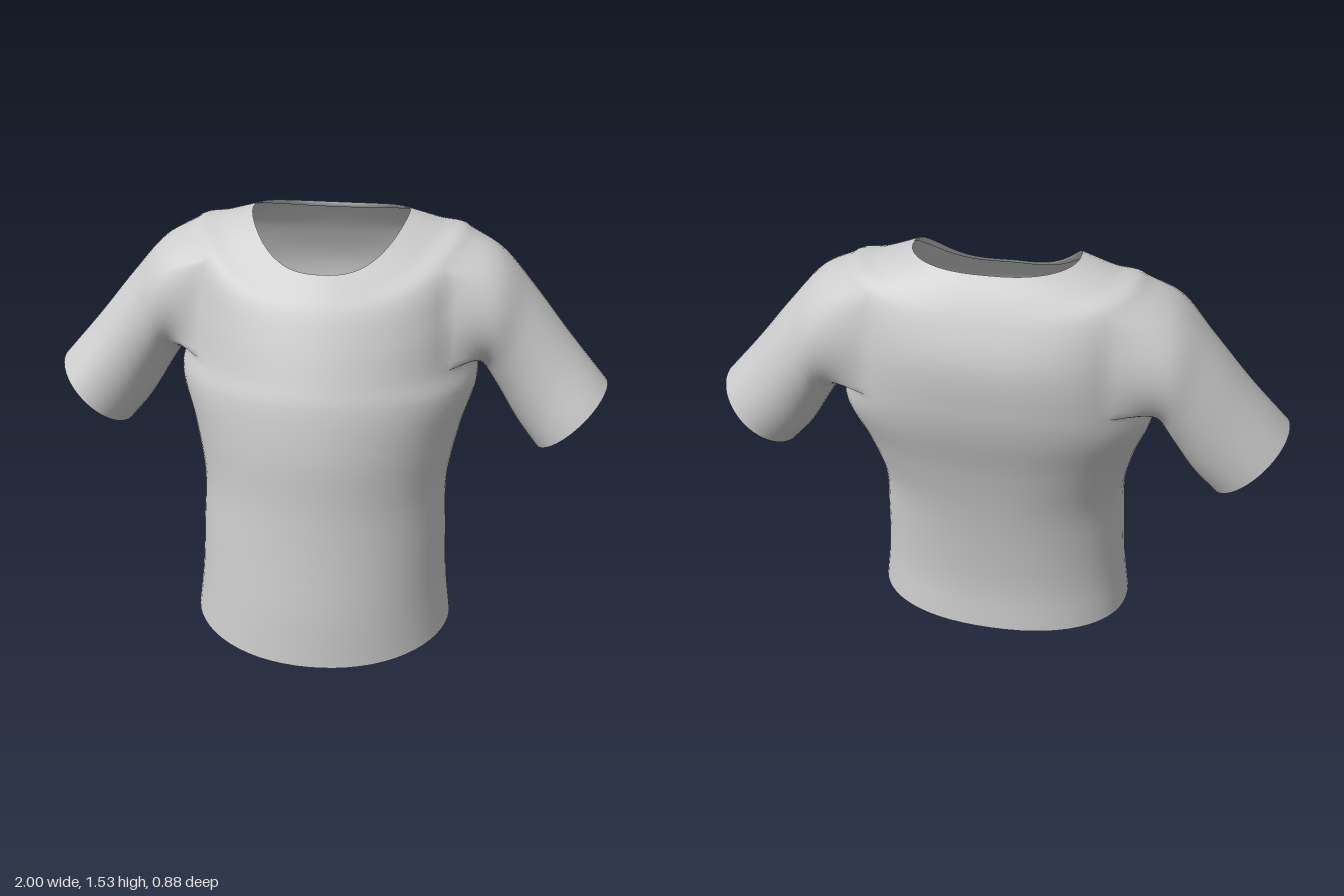
import * as THREE from 'three';

const N = 64;                 // columns around the body (0 = front, N/4 = left side)
const SUB = 6;                // rows between key sections
const ARM = { low: 6 * SUB, high: 8 * SUB, front: 10, back: 24 };  // armhole patch in the grid

// Key sections, hem to neckline:
// half width, front z, back z, side z, front y, side y, back y, back roundness
const SECTIONS = [
  [0.485, 0.44, -0.28, 0.04, 0.005, 0.03, 0.03, 0.9],
  [0.465, 0.425, -0.27, 0.03, 0.2, 0.2, 0.2, 0.9],
  [0.455, 0.4, -0.285, 0.02, 0.4, 0.4, 0.4, 0.9],
  [0.45, 0.38, -0.315, 0, 0.6, 0.6, 0.6, 0.88],
  [0.49, 0.37, -0.36, -0.05, 0.8, 0.8, 0.8, 0.82],
  [0.54, 0.34, -0.41, -0.1, 0.97, 0.97, 0.97, 0.78],
  [0.525, 0.31, -0.43, -0.12, 1.05, 1.06, 1.08, 0.75],
  [0.515, 0.26, -0.435, -0.13, 1.17, 1.28, 1.25, 0.75],
  [0.49, 0.205, -0.39, -0.15, 1.28, 1.48, 1.38, 0.75],
  [0.39, 0.165, -0.345, -0.15, 1.33, 1.505, 1.46, 0.75],
  [0.275, 0.12, -0.3, -0.13, 1.38, 1.54, 1.52, 0.78],
];

// Sleeve stations: top x, top y, bottom x, bottom y, front z, back z
const STATIONS = [
  [0.6, 1.42, 0.56, 1.0, 0.075, -0.36],
  [0.72, 1.29, 0.61, 0.92, 0.05, -0.335],
  [0.86, 1.12, 0.685, 0.8, 0.055, -0.31],
  [1.0, 0.96, 0.76, 0.71, 0.085, -0.29],
];

function sectionPoint([w, zf, zb, zm, yf, ys, yb, eb], a) {
  const s = Math.sin(a), c = Math.cos(a), as = Math.abs(s), ac = Math.abs(c);
  const e = c > 0 ? 1 : eb;
  const x = Math.sign(s) * w * Math.pow(as, e);
  const z = zm + ((c > 0 ? zf : zb) - zm) * Math.pow(ac, e);
  const y = THREE.MathUtils.lerp(c > 0 ? yf : yb, ys, Math.pow(as, c > 0 ? 3 : 2));
  return new THREE.Vector3(x, y, z);
}

// Samples a smooth curve through key points at even steps per key
function sample(keys, sub) {
  return new THREE.CatmullRomCurve3(keys).getPoints((keys.length - 1) * sub);
}

function quad(index, a, b, c, d) {
  index.push(a, b, c, b, d, c);
}

function toGeometry(points, index) {
  const geometry = new THREE.BufferGeometry().setFromPoints(points);
  geometry.setIndex(index);
  geometry.computeVertexNormals();
  return geometry;
}

// Turned-in fold behind an open edge; rows start at the edge
function foldGeometry(rows, inset) {
  const points = [], index = [], n = rows[0].length;
  rows.forEach((row, i) => {
    const centre = row.reduce((s, p) => s.add(p), new THREE.Vector3()).divideScalar(n);
    for (const p of row) {
      const inward = centre.clone().sub(p).setLength(i ? inset : 0);
      points.push(p.clone().add(inward));
    }
  });
  for (let i = 0; i < rows.length - 1; i++) {
    for (let j = 0; j < n; j++) {
      const k = (j + 1) % n;
      quad(index, i * n + j, i * n + k, (i + 1) * n + j, (i + 1) * n + k);
    }
  }
  return toGeometry(points, index);
}

// Grid loop around the left armhole: top, front, underarm, back
function armholeLoop() {
  const loop = [], { low, high, front, back } = ARM;
  for (let j = back; j > front; j--) loop.push([high, j]);
  for (let i = high; i > low; i--) loop.push([i, front]);
  for (let j = front; j < back; j++) loop.push([low, j]);
  for (let i = low; i < high; i++) loop.push([i, back]);
  return loop;
}

export function createModel() {
  const group = new THREE.Group();
  group.name = 'shortSleevedShirt';
  const material = new THREE.MeshStandardMaterial({ color: 0xcccccc, side: THREE.DoubleSide });
  const add = (name, geometry) => {
    const mesh = new THREE.Mesh(geometry, material);
    mesh.name = name;
    group.add(mesh);
  };

  // Body grid, lofted column by column
  const columns = [];
  for (let j = 0; j < N; j++) {
    const a = (j / N) * Math.PI * 2;
    columns.push(sample(SECTIONS.map((s) => sectionPoint(s, a)), SUB));
  }
  const rowCount = columns[0].length;
  const bodyRow = (i) => columns.map((c) => c[i]);
  const points = [], index = [];
  for (let i = 0; i < rowCount; i++) points.push(...bodyRow(i));

  // Body faces, leaving both armholes open
  const inArmhole = (i, j) => i >= ARM.low && i < ARM.high &&
    ((j >= ARM.front && j < ARM.back) || (j >= N - ARM.back && j < N - ARM.front));
  for (let i = 0; i < rowCount - 1; i++) {
    for (let j = 0; j < N; j++) {
      if (inArmhole(i, j)) continue;
      const k = (j + 1) % N;
      quad(index, i * N + j, i * N + k, (i + 1) * N + j, (i + 1) * N + k);
    }
  }

  // Sleeves grow from the armhole edges, so the surface stays smooth
  for (const side of [1, -1]) {
    const loop = armholeLoop().map(([i, j]) => i * N + (side > 0 ? j : N - j));
    if (side < 0) loop.reverse();
    const strands = loop.map((id) => {
      const p = points[id];
      const t = Math.atan2((p.z + 0.14) / 0.22, (p.y - 1.27) / 0.21);
      const keys = STATIONS.map(([tx, ty, bx, by, zf, zb]) => new THREE.Vector3(
        side * ((tx + bx) / 2 + ((tx - bx) / 2) * Math.cos(t)),
        (ty + by) / 2 + ((ty - by) / 2) * Math.cos(t),
        (zf + zb) / 2 + ((zf - zb) / 2) * Math.sin(t)));
      return sample([p, ...keys], SUB);
    });
    let previous = loop;
    const count = strands[0].length, n = loop.length;
    for (let i = 1; i < count; i++) {
      const current = strands.map((s) => points.push(s[i]) - 1);
      for (let j = 0; j < n; j++) {
        const k = (j + 1) % n;
        quad(index, previous[j], previous[k], current[j], current[k]);
      }
      previous = current;
    }
    const cuffRows = [1, 2, 3].map((d) => strands.map((s) => s[count - d]));
    add(side > 0 ? 'leftCuffFold' : 'rightCuffFold', foldGeometry(cuffRows, 0.01));
  }
  add('bodyAndSleeves', toGeometry(points, index));

  // Folds inside the hem and neckline
  add('hemFold', foldGeometry([0, 1, 2].map(bodyRow), 0.01));
  add('neckFold', foldGeometry([1, 2, 3].map((d) => bodyRow(rowCount - d)), 0.008));
  return group;
}
